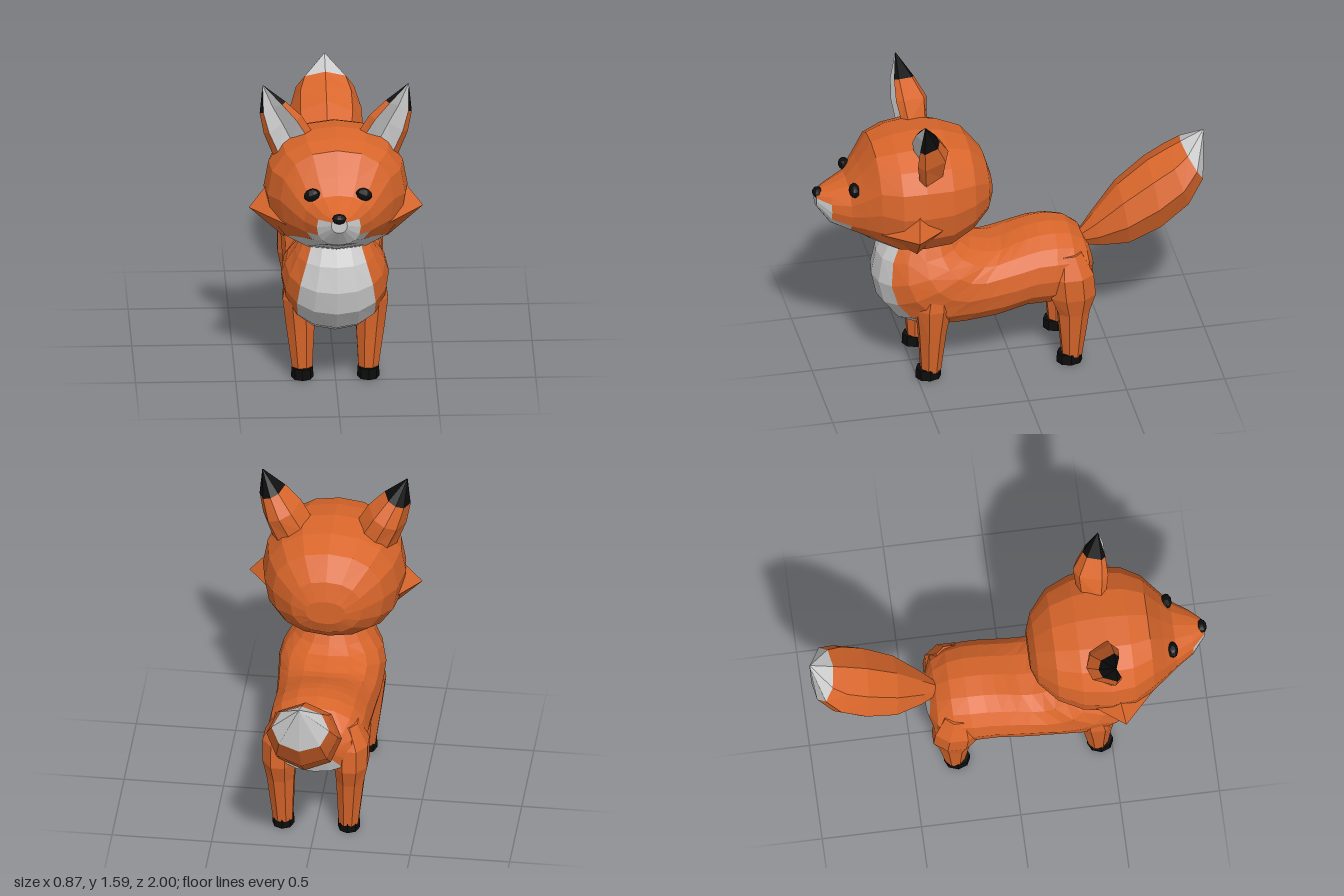
import * as THREE from 'three';
import { ConvexGeometry } from 'three/addons/geometries/ConvexGeometry.js';

const mat = (color) => new THREE.MeshStandardMaterial({ color, flatShading: true });
const MATS = { orange: mat(0xd9662b), black: mat(0x0c0c0c), white: mat(0xcccccc) };
const V = (x, y, z) => new THREE.Vector3(x, y, z);

// Skin closed rings of points with capped ends; pick(ring, side) gives each face's colour
function loft(name, rings, pick = () => 'orange') {
  const group = new THREE.Group();
  group.name = name;
  const tris = [];
  const n = rings[0].length;
  for (let i = 0; i < rings.length - 1; i++) {
    for (let j = 0; j < n; j++) {
      const k = (j + 1) % n, a = rings[i], b = rings[i + 1], c = pick(i, j);
      tris.push([c, a[j], a[k], b[k]], [c, a[j], b[k], b[j]]);
    }
  }
  const cap = (ring, c, flip) => {
    const mid = ring.reduce((s, p) => s.add(p), V(0, 0, 0)).divideScalar(n);
    ring.forEach((p, j) => {
      const q = ring[(j + 1) % n];
      tris.push(flip ? [c, mid, q, p] : [c, mid, p, q]);
    });
  };
  cap(rings[0], pick(0, 0), true);
  cap(rings[rings.length - 1], pick(rings.length - 2, 0), false);
  // Turn everything outward if the enclosed volume is negative
  let volume = 0;
  for (const [, a, b, c] of tris) volume += a.dot(b.clone().cross(c));
  for (const colour of Object.keys(MATS)) {
    const pts = [];
    for (const [c, p, q, r] of tris) {
      if (c === colour) pts.push(...(volume < 0 ? [p, r, q] : [p, q, r]));
    }
    if (!pts.length) continue;
    const geo = new THREE.BufferGeometry().setFromPoints(pts);
    geo.computeVertexNormals();
    const mesh = new THREE.Mesh(geo, MATS[colour]);
    mesh.name = `${name} ${colour}`;
    group.add(mesh);
  }
  return group;
}

// Oval ring spanning a top and a bottom point of the side profile; side 0 starts at the bottom
function oval([topZ, topY, botZ, botY, w], sides, power = 1) {
  const soft = (v) => Math.sign(v) * Math.abs(v) ** power;
  return Array.from({ length: sides }, (_, j) => {
    const a = (j / sides) * Math.PI * 2;
    const t = (1 - soft(Math.cos(a))) / 2;
    return V(w * soft(Math.sin(a)), botY + (topY - botY) * t, botZ + (topZ - botZ) * t);
  });
}

// Horizontal ring for legs
function flatRing([y, x, z, rx, rz], side) {
  return Array.from({ length: 8 }, (_, j) => {
    const a = ((j + 0.5) / 8) * Math.PI * 2;
    return V(side * (x + rx * 1.06 * Math.cos(a)), y, z + rz * 1.06 * Math.sin(a));
  });
}

function ball(name, colour, pos, scale) {
  const mesh = new THREE.Mesh(new THREE.SphereGeometry(1, 10, 7), MATS[colour]);
  mesh.name = name;
  mesh.position.set(...pos);
  mesh.scale.set(...scale);
  return mesh;
}

function ear(side) {
  // inner edge x, y, outer edge x, y, front z, depth
  const levels = [
    [0.11, 1.32, 0.31, 1.2, 0.51, 0.14],
    [0.17, 1.42, 0.36, 1.33, 0.53, 0.17],
    [0.25, 1.5, 0.38, 1.44, 0.525, 0.11],
    [0.362, 1.588, 0.366, 1.585, 0.5, 0.004],
  ];
  const rings = levels.map(([ix, iy, ox, oy, z, d]) => {
    const at = (t, back) => V(side * (ix + (ox - ix) * t), iy + (oy - iy) * t, z - d * back);
    return [at(0, 0.2), at(0.2, 0.85), at(0.5, 1), at(0.8, 0.85), at(1, 0.2), at(0.86, 0), at(0.5, 0.25), at(0.14, 0)];
  });
  return loft('ear', rings, (i, j) => (j === 5 || j === 6 ? 'white' : i === 2 ? 'black' : 'orange'));
}

export function createModel() {
  const model = new THREE.Group();
  model.name = 'fox';

  // Body from neck to rump, with pale bib and belly
  const body = [
    [0.28, 0.77, 0.62, 0.77, 0.165],
    [0.25, 0.72, 0.675, 0.67, 0.205],
    [0.2, 0.69, 0.7, 0.54, 0.25],
    [0.14, 0.675, 0.675, 0.42, 0.27],
    [0.09, 0.665, 0.6, 0.32, 0.265],
    [0.04, 0.672, 0.47, 0.26, 0.26],
    [-0.02, 0.695, 0.3, 0.25, 0.252],
    [-0.08, 0.715, 0.12, 0.265, 0.25],
    [-0.14, 0.727, -0.05, 0.31, 0.25],
    [-0.22, 0.73, -0.17, 0.31, 0.25],
    [-0.3, 0.712, -0.29, 0.33, 0.235],
    [-0.37, 0.655, -0.39, 0.39, 0.2],
    [-0.4, 0.6, -0.42, 0.48, 0.11],
  ].map((r) => oval(r, 16, 0.92));
  model.add(loft('body', body, (i, j) => (j < 2 || j > 13 ? 'white' : 'orange')));

  // Head from the back of the skull to the snout: z, top, bottom, half width
  const head = [
    [0.1, 1.08, 0.95, 0.1],
    [0.13, 1.18, 0.88, 0.18],
    [0.22, 1.29, 0.8, 0.28],
    [0.34, 1.335, 0.735, 0.335],
    [0.48, 1.355, 0.73, 0.36],
    [0.6, 1.34, 0.74, 0.345],
    [0.7, 1.31, 0.785, 0.285],
    [0.77, 1.2, 0.825, 0.225],
    [0.83, 1.12, 0.85, 0.17],
    [0.92, 1.085, 0.89, 0.11],
    [0.985, 1.06, 0.98, 0.04],
  ].map(([z, top, bot, w]) => oval([z, top, z, bot, w], 16, 0.88));
  model.add(loft('head', head, (i, j) => {
    const reach = i >= 9 ? 5 : i >= 8 ? 3 : i >= 5 ? 2 : 0;
    return j < reach || j >= 16 - reach ? 'white' : 'orange';
  }));
  model.add(ball('nose', 'black', [0, 1.05, 0.972], [0.037, 0.026, 0.028]));

  // Tail with pale tip
  const tail = [
    [-0.35, 0.64, -0.36, 0.575, 0.03],
    [-0.43, 0.74, -0.46, 0.565, 0.09],
    [-0.56, 0.9, -0.6, 0.57, 0.16],
    [-0.71, 1.02, -0.76, 0.645, 0.185],
    [-0.81, 1.075, -0.91, 0.77, 0.18],
    [-0.88, 1.11, -0.99, 0.91, 0.145],
    [-0.995, 1.165, -1, 1.16, 0.003],
  ].map((r) => oval(r, 8));
  model.add(loft('tail', tail, (i) => (i === 5 ? 'white' : 'orange')));

  const legs = {
    frontLeg: [
      [0.04, 0.165, 0.43, 0.05, 0.05],
      [0.27, 0.175, 0.425, 0.072, 0.07],
      [0.42, 0.185, 0.42, 0.08, 0.09],
      [0.6, 0.18, 0.4, 0.06, 0.07],
    ],
    hindLeg: [
      [0.04, 0.165, -0.29, 0.05, 0.05],
      [0.3, 0.175, -0.295, 0.07, 0.08],
      [0.4, 0.18, -0.29, 0.085, 0.115],
      [0.52, 0.18, -0.28, 0.085, 0.115],
      [0.63, 0.15, -0.27, 0.06, 0.07],
    ],
  };

  for (const side of [1, -1]) {
    model.add(ear(side));

    const eye = ball('eye', 'black', [side * 0.13, 1.118, 0.812], [0.042, 0.032, 0.028]);
    eye.rotation.z = side * -0.35;
    model.add(eye);

    // Pointed cheek tuft
    const tuft = [
      [0.435, 0.95, 0.54], [0.34, 1.07, 0.52], [0.33, 0.95, 0.4], [0.26, 0.785, 0.52],
      [0.26, 0.92, 0.7], [0.14, 0.95, 0.54],
    ].map(([x, y, z]) => V(side * x, y, z));
    const cheek = new THREE.Mesh(new ConvexGeometry(tuft), MATS.orange);
    cheek.name = 'cheek';
    model.add(cheek);

    // Legs and paws
    for (const [name, rings] of Object.entries(legs)) {
      model.add(loft(name, rings.map((r) => flatRing(r, side))));
      const paw = new THREE.Mesh(new THREE.CylinderGeometry(0.96, 1, 1, 8), MATS.black);
      paw.name = 'paw';
      paw.scale.set(0.056, 0.055, 0.066);
      paw.position.set(side * 0.165, 0.0275, rings[0][2] + 0.012);
      model.add(paw);
    }
  }
  return model;
}
